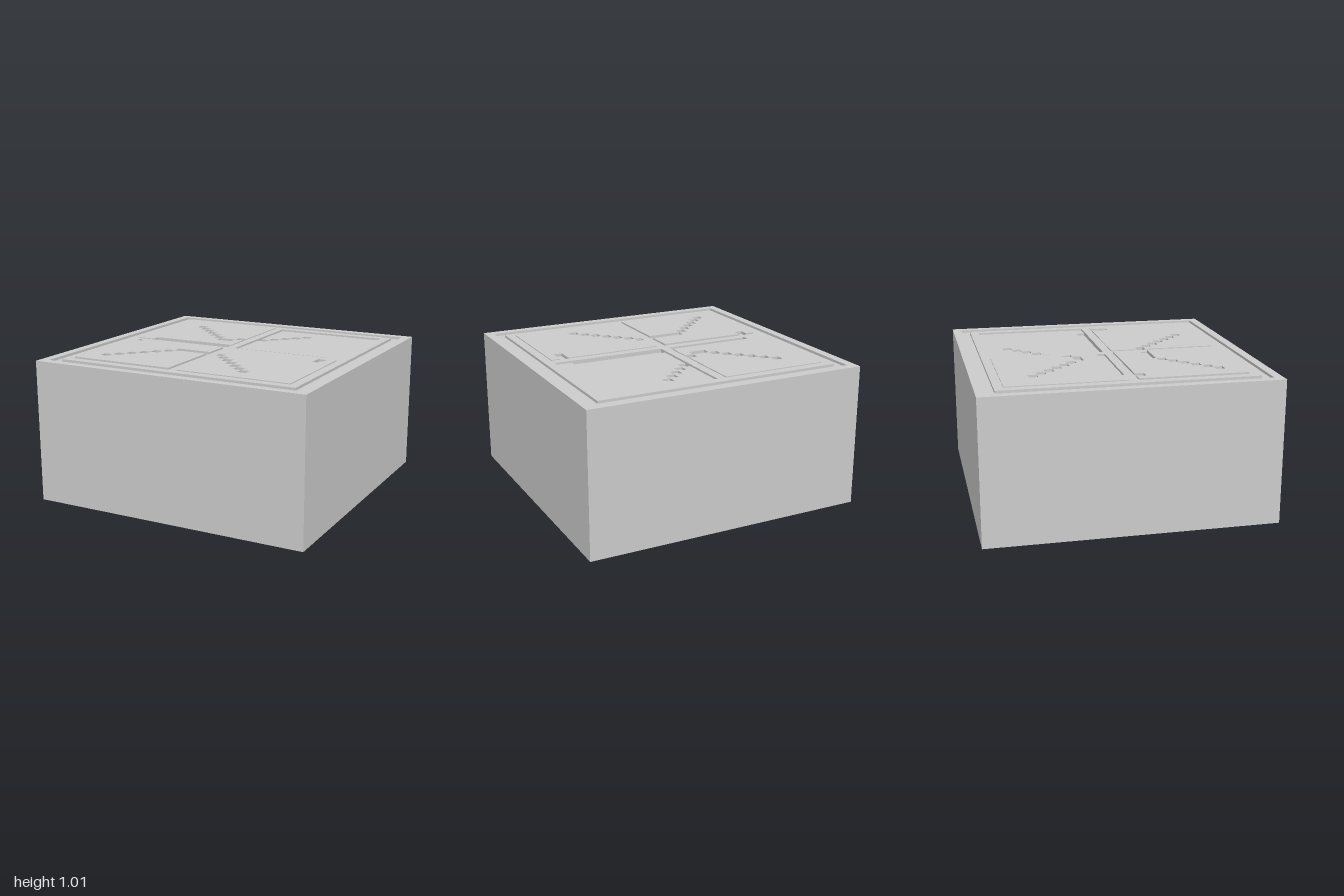
import * as THREE from 'three';

const N = 32, CELL = 2 / N; // the top face is laid out on a 32 x 32 grid of cells
const BODY_TOP = 0.96, BASE = 1;

// Raised or sunken panels, as inclusive cell ranges, with the cells carved into each:
// [column, row, column step, row step, count]
const PANELS = [
  { name: 'backRightPanel', x: [3, 14], z: [3, 15], top: 1.006, carved: 0.985,
    runs: [[6, 6, 1, 1, 7], [13, 12, 1, -1, 2], [5, 15, 1, 0, 10]] },
  { name: 'backLeftPanel', x: [16, 28], z: [3, 15], top: 0.987, carved: 0.972,
    runs: [[16, 9, 1, -1, 5], [16, 15, 1, 0, 11]] },
  { name: 'frontRightPanel', x: [3, 14], z: [17, 28], top: 1.012, carved: 0.99,
    runs: [[4, 17, 1, 0, 1], [11, 20, 1, 0, 4], [10, 21, -1, 1, 6]] },
  { name: 'frontLeftPanel', x: [16, 28], z: [17, 28], top: 1.006, carved: 0.985,
    runs: [[16, 20, 1, 1, 7], [27, 17, 0, 1, 2]] },
];

// Height map with a part name for every cell
function layout() {
  const cells = [];
  for (let j = 0; j < N; j++) {
    for (let i = 0; i < N; i++) {
      const ring = Math.min(i, j, N - 1 - i, N - 1 - j);
      if (ring === 0) cells.push({ part: 'rim', h: BASE });
      else if (ring === 1) cells.push({ part: 'borderGroove', h: 0.982 });
      else cells.push({ part: 'topPlate', h: BASE });
    }
  }
  for (const p of PANELS) {
    for (let j = p.z[0]; j <= p.z[1]; j++)
      for (let i = p.x[0]; i <= p.x[1]; i++) cells[j * N + i] = { part: p.name, h: p.top };
    for (const [i, j, di, dj, count] of p.runs)
      for (let k = 0; k < count; k++) cells[(j + dj * k) * N + i + di * k].h = p.carved;
  }
  return cells;
}

export function createModel() {
  const group = new THREE.Group();
  const material = new THREE.MeshStandardMaterial({ color: 0xcccccc, flatShading: true });
  const add = (name, geometry) => {
    const mesh = new THREE.Mesh(geometry, material);
    mesh.name = name;
    group.add(mesh);
  };

  // Solid block
  add('body', new THREE.BoxGeometry(2, BODY_TOP, 2).translate(0, BODY_TOP / 2, 0));

  // Carved top: one flat tile per cell, with walls down to any lower neighbour
  const cells = layout();
  const height = (i, j) => (i < 0 || j < 0 || i >= N || j >= N ? BODY_TOP : cells[j * N + i].h);
  const parts = {};
  const sides = [[-1, 0], [0, 1], [1, 0], [0, -1]];
  cells.forEach(({ part, h }, n) => {
    const i = n % N, j = Math.floor(n / N);
    const out = (parts[part] ??= []);
    const quad = (a, b, c, d) => out.push(...a, ...b, ...c, ...a, ...c, ...d);
    const x0 = i * CELL - 1, z0 = j * CELL - 1, x1 = x0 + CELL, z1 = z0 + CELL;
    const corners = [[x0, h, z0], [x0, h, z1], [x1, h, z1], [x1, h, z0]];
    quad(...corners);
    sides.forEach(([di, dj], k) => {
      const low = height(i + di, j + dj);
      if (low >= h) return;
      const p = corners[k], q = corners[(k + 1) % 4];
      quad(p, [p[0], low, p[2]], [q[0], low, q[2]], q);
    });
  });

  for (const [name, positions] of Object.entries(parts)) {
    const geometry = new THREE.BufferGeometry();
    geometry.setAttribute('position', new THREE.Float32BufferAttribute(positions, 3));
    geometry.computeVertexNormals();
    add(name, geometry);
  }
  return group;
}
